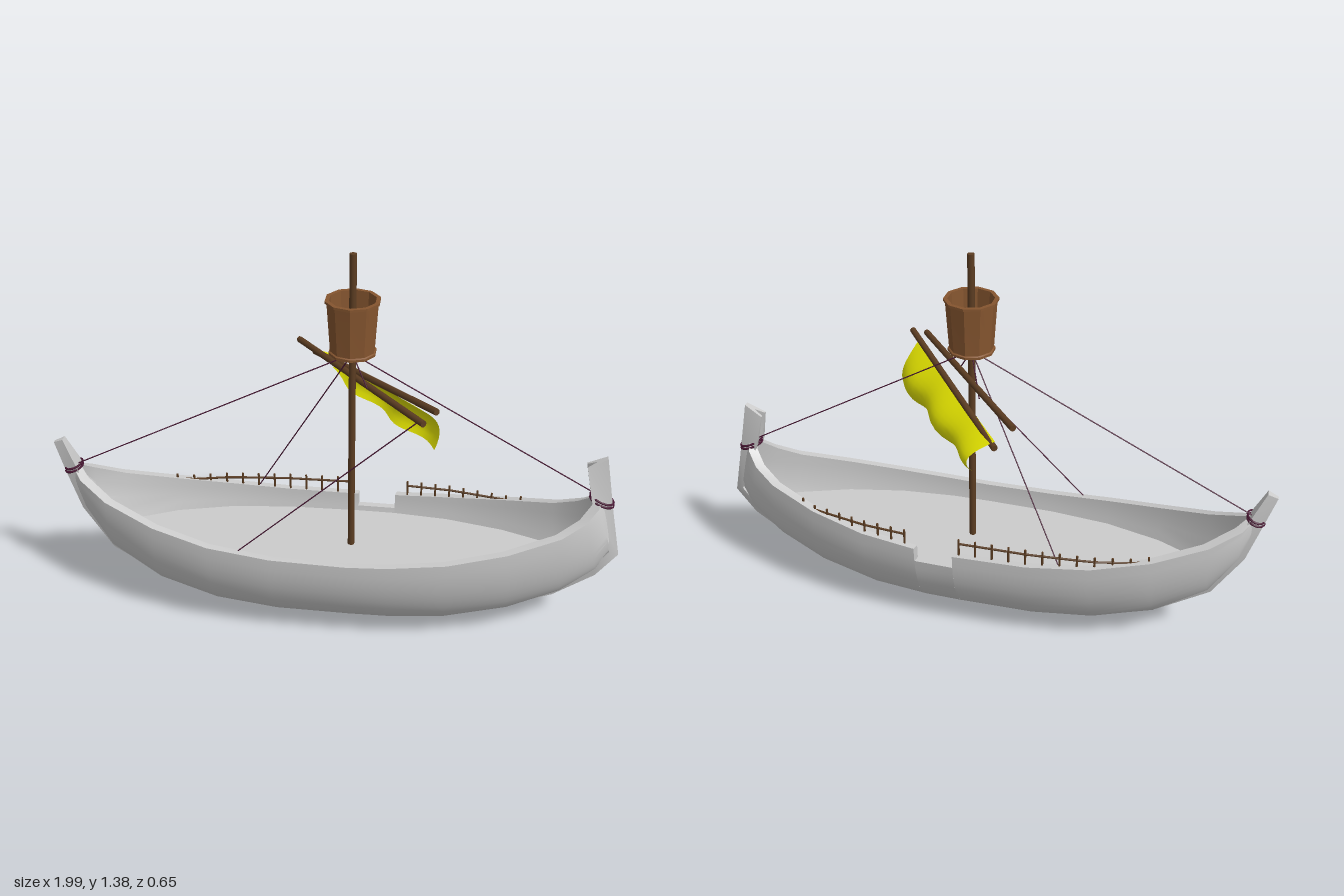
import * as THREE from 'three';
import { toCreasedNormals } from 'three/addons/utils/BufferGeometryUtils.js';

const mat = (color) => new THREE.MeshStandardMaterial({ color, side: THREE.DoubleSide });
const grey = mat(0xcccccc), wood = mat(0x5c3d22), basketWood = mat(0x85552f);
const cloth = mat(0xe6e600), ropeMat = mat(0x4a1835);
const DECK = 0.29, NOTCH = 0.31, WALL = 0.025, CZ = 0.042, MX = 0.055;
const lerp = THREE.MathUtils.lerp, clamp = THREE.MathUtils.clamp;

// Hull stations: gunwale x, gunwale y, half width, keel x, keel y
const STATIONS = [
  [-0.94, 0.55, 0.012, -0.955, 0.53], [-0.9, 0.52, 0.06, -0.9, 0.37],
  [-0.8, 0.47, 0.115, -0.81, 0.225], [-0.62, 0.42, 0.18, -0.63, 0.11],
  [-0.42, 0.385, 0.225, -0.42, 0.05], [-0.2, 0.365, 0.243, -0.2, 0.027],
  [0.06, 0.36, 0.247, 0.06, 0.025], [0.2, 0.365, 0.245, 0.2, 0.025],
  [0.4, 0.38, 0.228, 0.4, 0.037], [0.6, 0.41, 0.187, 0.62, 0.085],
  [0.78, 0.45, 0.125, 0.8, 0.16], [0.86, 0.49, 0.085, 0.92, 0.26],
  [0.9, 0.53, 0.05, 0.965, 0.34], [0.915, 0.56, 0.012, 0.935, 0.5],
];

// Surface through rows of points
function loft(rows, crease = 0.6) {
  const n = rows[0].length, index = [];
  for (let i = 0; i < rows.length - 1; i++)
    for (let j = 0; j < n - 1; j++) {
      const a = i * n + j, b = a + n;
      index.push(a, b, a + 1, b, b + 1, a + 1);
    }
  const g = new THREE.BufferGeometry();
  g.setAttribute('position', new THREE.Float32BufferAttribute(rows.flat(2), 3));
  g.setIndex(index);
  return toCreasedNormals(g, crease);
}

function add(parent, name, geometry, material) {
  const m = new THREE.Mesh(geometry, material);
  m.name = name;
  parent.add(m);
  return m;
}

// Round bar between two points
function bar(parent, name, a, b, r, material, sides = 8) {
  const p = new THREE.Vector3(...a), d = new THREE.Vector3(...b).sub(p);
  const m = add(parent, name, new THREE.CylinderGeometry(r, r, d.length(), sides), material);
  m.position.copy(p).addScaledVector(d, 0.5);
  m.quaternion.setFromUnitVectors(new THREE.Vector3(0, 1, 0), d.normalize());
  return m;
}

// Elliptical hull section: angle at a height, and outer or inner point at an angle
const angleAt = ([, gy, , , ky], y) => Math.acos(clamp(1 - (y - ky) / (gy - ky), 0, 1));
function hullPoint([gx, gy, w, kx, ky], a, side, inner) {
  const t = 1 - Math.cos(a), z = w * Math.sin(a);
  return [lerp(kx, gx, t) * (inner ? 0.975 : 1), lerp(ky, gy, t), side * (inner ? Math.max(0, z - WALL) : z)];
}
const arc = (s, from, to, n, side, inner) =>
  Array.from({ length: n + 1 }, (_, i) => hullPoint(s, lerp(from, to, i / n), side, inner));

// Outer skin, rim and inner wall down to the deck
function hullSide(stations, side, top) {
  return loft(stations.map((s) => {
    const end = top ? angleAt(s, top) : Math.PI / 2;
    return [...arc(s, 0, end, 12, side, false), ...arc(s, end, angleAt(s, DECK), 4, side, true)];
  }));
}

// Stem post and keel strip: outer x, y, inner x, y, half width
function stem(points, trough) {
  const rows = points.map(([ox, oy, ix, iy, h]) => {
    const k = trough ? 0.5 : 0;
    return [[ox, oy, -h * 0.5], [ox, oy, h * 0.5], [ix, iy, h], [ix, iy, h * 0.6],
      [lerp(ix, ox, k), lerp(iy, oy, k), 0], [ix, iy, -h * 0.6], [ix, iy, -h], [ox, oy, -h * 0.5]];
  });
  const cap = ([ox, oy, ix, iy]) => Array(8).fill([lerp(ox, ix, 0.4), lerp(oy, iy, 0.4), 0]);
  return loft([cap(points[0]), ...rows, cap(points[points.length - 1])]);
}

// Gunwale height and half width at any x
function gunwale(x) {
  const i = clamp(STATIONS.findIndex((s) => s[0] > x), 1, STATIONS.length - 1);
  const a = STATIONS[i - 1], b = STATIONS[i], t = (x - a[0]) / (b[0] - a[0]);
  return { y: lerp(a[1], b[1], t), w: lerp(a[2], b[2], t) };
}

export function createModel() {
  const model = new THREE.Group();
  model.name = 'sailingBoat';
  const boat = new THREE.Group();
  boat.name = 'boat';
  boat.position.z = CZ;
  model.add(boat);

  // Hull, with a boarding notch in the back side
  add(boat, 'hullFront', hullSide(STATIONS, 1), grey);
  add(boat, 'hullBackRight', hullSide(STATIONS.slice(0, 7), -1), grey);
  add(boat, 'hullBackNotch', hullSide(STATIONS.slice(6, 8), -1, NOTCH), grey);
  add(boat, 'hullBackLeft', hullSide(STATIONS.slice(7), -1), grey);
  for (const s of [STATIONS[6], STATIONS[7]]) {
    const a = angleAt(s, NOTCH);
    add(boat, 'notchEnd', loft([false, true].map((inner) => arc(s, a, Math.PI / 2, 4, -1, inner))), grey);
  }
  add(boat, 'deck', loft(STATIONS.map((s) =>
    [1, -1].map((side) => hullPoint(s, angleAt(s, DECK), side, true)))), grey);

  // Stem posts running into keel strips
  add(boat, 'rightStem', stem([
    [-1, 0.64, -0.965, 0.655, 0.014], [-0.965, 0.53, -0.91, 0.53, 0.034],
    [-0.92, 0.38, -0.875, 0.39, 0.032], [-0.82, 0.215, -0.78, 0.24, 0.028],
    [-0.64, 0.095, -0.62, 0.125, 0.02], [-0.42, 0.035, -0.41, 0.06, 0.013],
    [-0.1, 0.005, -0.1, 0.03, 0.006]], false), grey);
  add(boat, 'leftStem', stem([
    [0.915, 0.705, 0.85, 0.67, 0.02], [0.95, 0.52, 0.875, 0.55, 0.034],
    [0.99, 0.33, 0.955, 0.35, 0.034], [0.92, 0.235, 0.9, 0.27, 0.03],
    [0.78, 0.135, 0.77, 0.17, 0.022], [0.62, 0.07, 0.61, 0.1, 0.015],
    [0.4, 0.02, 0.4, 0.05, 0.009], [0.22, 0, 0.22, 0.03, 0.004]], true), grey);

  // Railings along the back gunwale
  for (const [x0, x1, n] of [[-0.61, 0.04, 12], [0.24, 0.65, 9]]) {
    const rail = new THREE.Group();
    rail.name = 'railing';
    boat.add(rail);
    let last = null;
    for (let i = 0; i < n; i++) {
      const x = lerp(x0, x1, i / (n - 1)), { y, w } = gunwale(x), z = -(w - 0.018);
      const top = Math.max(0.425, y + 0.015);
      bar(rail, 'railPost', [x, y - 0.04, z], [x, top, z], 0.004, wood, 6);
      const here = [x, top - 0.018, z];
      if (last) bar(rail, 'handrail', last, here, 0.004, wood, 6);
      last = here;
    }
  }

  // Mast and lookout basket
  bar(boat, 'mast', [MX, DECK - 0.02, 0], [MX, 1.385, 0], 0.012, wood, 10);
  const profile = [[0, 1.045], [0.08, 1.045], [0.08, 1.053], [0.075, 1.056], [0.086, 1.224],
    [0.092, 1.224], [0.092, 1.232], [0.078, 1.232], [0.068, 1.06], [0, 1.06]];
  const basket = new THREE.LatheGeometry(profile.map((p) => new THREE.Vector2(...p)), 10);
  add(boat, 'lookoutBasket', toCreasedNormals(basket, 0.5), basketWood).position.x = MX;

  // Two yards
  bar(model, 'frontYard', [-0.165, 0.945, -0.255], [0.305, 0.945, 0.318], 0.011, wood);
  bar(model, 'backYard', [-0.115, 0.884, -0.29], [0.343, 0.968, 0.278], 0.011, wood);

  // Gathered sail bulging away from the yards
  const sailRows = [];
  for (let i = 0; i <= 20; i++) {
    const s = i / 20, row = [];
    for (let j = 0; j <= 10; j++) {
      const v = j / 10;
      const out = 0.085 * Math.sin(v * 2.3) + 0.014 * Math.sin(s * 15 + 1) * v;
      const bunch = -0.05 * (s - 0.5) * Math.sin(v * Math.PI);
      const along = s + bunch + (s > 0.5 ? -0.04 * v * (s - 0.5) * 2 : 0);
      const top = lerp(0.9, 0.948, s), bottom = 0.782 + 0.025 * Math.pow(1 - s, 8);
      row.push([lerp(-0.112, 0.31, along) + 0.77 * out, lerp(top, bottom, v),
        lerp(-0.275, 0.25, along) - 0.63 * out]);
    }
    sailRows.push(row);
  }
  add(model, 'sail', loft(sailRows, 1), cloth);

  // Rigging: stays, shroud, sheet and yard slings
  const head = [MX, 1.04, CZ];
  for (const [a, b] of [
    [head, [-0.935, 0.55, CZ]], [head, [0.91, 0.55, CZ]],
    [head, [-0.31, 0.38, -0.175]], [[0.295, 0.945, 0.292], [-0.31, 0.38, 0.26]],
    [head, [0.11, 0.945, 0.1]], [head, [0, 0.92, -0.06]]])
    bar(model, 'rope', a, b, 0.0022, ropeMat, 5);

  // Rope wraps around the stem posts
  for (const [x, y, tilt, sx] of [[-0.938, 0.545, 0.3, 0.85], [0.912, 0.54, -0.35, 1.15]])
    for (const dy of [-0.006, 0.006]) {
      const wrap = add(boat, 'ropeWrap', new THREE.TorusGeometry(0.037, 0.004, 6, 16).rotateX(Math.PI / 2), ropeMat);
      wrap.scale.x = sx;
      wrap.rotation.z = tilt;
      wrap.position.set(x, y + dy, 0);
    }

  return model;
}
